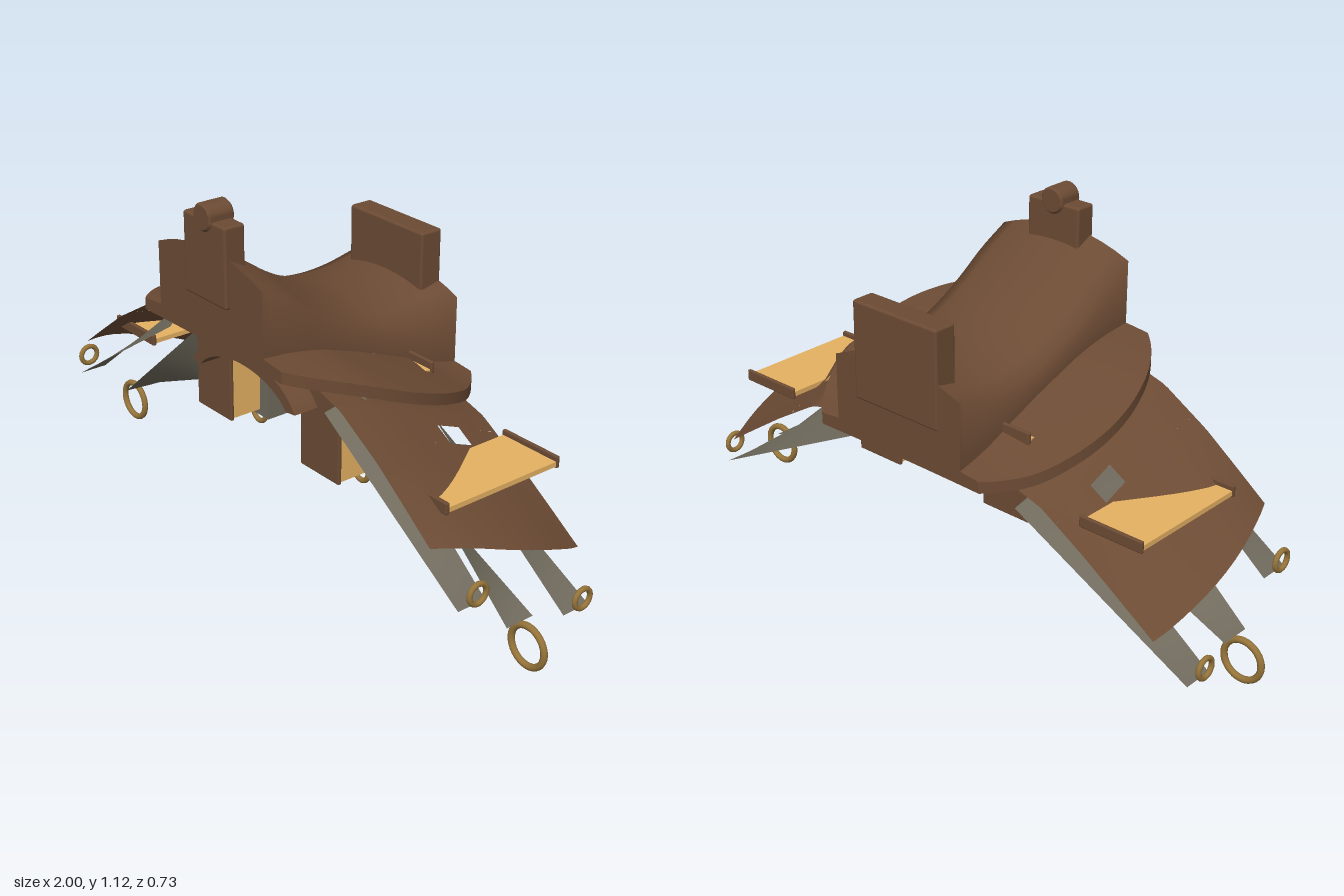
import * as THREE from 'three';
import { toCreasedNormals } from 'three/addons/utils/BufferGeometryUtils.js';
import { RoundedBoxGeometry } from 'three/addons/geometries/RoundedBoxGeometry.js';

const material = (name, color, side = THREE.FrontSide) => {
  const m = new THREE.MeshStandardMaterial({ color, side });
  m.name = name;
  return m;
};

// Closed solid through counter-clockwise cross-sections, front to back.
function loft(sections, crease) {
  const n = sections[0].length, last = (sections.length - 1) * n, index = [];
  for (let s = 0; s < sections.length - 1; s++) {
    for (let i = 0; i < n; i++) {
      const a = s * n + i, b = s * n + (i + 1) % n;
      index.push(a, a + n, b, b, a + n, b + n);
    }
  }
  const half = n / 2; // end caps join the lower row to the upper row
  for (let i = 0; i < half - 1; i++) {
    const lo = i, lo2 = i + 1, up = n - 1 - i, up2 = n - 2 - i;
    index.push(lo, lo2, up, lo2, up2, up);
    index.push(last + lo, last + up, last + lo2, last + lo2, last + up, last + up2);
  }
  const g = new THREE.BufferGeometry();
  g.setAttribute('position', new THREE.Float32BufferAttribute(sections.flat(2), 3));
  g.setIndex(index);
  return toCreasedNormals(g, crease);
}

// Cross-section with a lower and an upper row, each given as y(u) for u in -1..1.
function section(z, width, lower, upper, steps = 10) {
  const low = [], up = [];
  for (let i = 0; i <= steps; i++) {
    const u = -1 + 2 * i / steps;
    low.push([u * width, lower(u), z]);
    up.unshift([u * width, upper(u), z]);
  }
  return [...low, ...up];
}

const profile = (heights) => new THREE.SplineCurve(
  heights.map((y, i) => new THREE.Vector2(0.345 - i * 0.1, y)));
const seatTop = profile([0.985, 0.932, 0.865, 0.81, 0.774, 0.76, 0.765, 0.785]);
const skirtTop = profile([0.755, 0.745, 0.725, 0.692, 0.655, 0.615, 0.572, 0.545]);

// Height of the side flap along x, at its middle.
const flapLine = [[0.28, 0.61], [0.45, 0.56], [0.6, 0.47], [0.74, 0.39], [0.86, 0.32]];
function flapHeight(x) {
  let i = 1;
  while (i < flapLine.length - 1 && x > flapLine[i][0]) i++;
  const [x0, y0] = flapLine[i - 1], [x1, y1] = flapLine[i];
  return y0 + (y1 - y0) * (x - x0) / (x1 - x0);
}

// Bends a unit plane by place(u, v) -> [x, y, z], mirrored by side, facing up.
function sheetGeometry(across, along, side, place) {
  const g = new THREE.PlaneGeometry(1, 1, across, along);
  const p = g.attributes.position;
  for (let i = 0; i < p.count; i++) {
    const [x, y, z] = place(p.getX(i) + 0.5, p.getY(i) + 0.5);
    p.setXYZ(i, side * x, y, z);
  }
  if (side > 0) {
    const a = g.index.array;
    for (let i = 0; i < a.length; i += 3) [a[i], a[i + 1]] = [a[i + 1], a[i]];
  }
  g.computeVertexNormals();
  return g;
}

// Part of the flap sheet, falling to the back like the skirt, with a bowed outer edge.
const flapPatch = (x0, x1, z0, z1, side) => sheetGeometry(12, 12, side, (u, v) => {
  const x = x0 + (x1 - x0) * u, z = z0 + (z1 - z0) * v;
  const y = flapHeight(x) + skirtTop.getPoint((0.345 - z) / 0.7).y - 0.66;
  const bow = x > 0.6 ? (x - 0.6) / 0.26 * (0.7 * z * z + 0.06 * z) : 0;
  return [x - bow, y, z];
});

// Flat band twisting from a sloping inner end to a level outer end.
const strapStrip = ([xf, yf], [xb, yb], [xo, yo], zFront, zBack, side) =>
  sheetGeometry(10, 1, side, (u, v) => [
    THREE.MathUtils.lerp(v > 0.5 ? xf : xb, xo, u),
    THREE.MathUtils.lerp(v > 0.5 ? yf : yb, yo, u),
    v > 0.5 ? zFront : zBack]);

export function createModel() {
  const root = new THREE.Group();
  root.name = 'saddle';
  const leather = material('brown leather', 0x6c4b34);
  const sheet = material('brown leather sheet', 0x6c4b34, THREE.DoubleSide);
  const canvas = material('tan canvas', 0xe6b263);
  const webbing = material('grey webbing', 0x706b5d, THREE.DoubleSide);
  const brass = material('brass', 0x96743a);

  const add = (name, geometry, mat, x = 0, y = 0, z = 0) => {
    const m = new THREE.Mesh(geometry, mat);
    m.name = name;
    m.position.set(x, y, z);
    root.add(m);
    return m;
  };
  const box = (name, mat, x0, x1, y0, y1, z0, z1, r = 0) => {
    const size = [Math.abs(x1 - x0), y1 - y0, z1 - z0];
    const g = r ? new RoundedBoxGeometry(...size, 2, r) : new THREE.BoxGeometry(...size);
    return add(name, g, mat, (x0 + x1) / 2, (y0 + y1) / 2, (z0 + z1) / 2);
  };

  // Seat and rounded skirt beneath it
  const seat = [], skirt = [];
  for (let i = 0; i <= 32; i++) {
    const a = seatTop.getPoint(i / 32), b = skirtTop.getPoint(i / 32), z = b.x;
    seat.push(section(z, 0.237, () => b.y - 0.02, (u) => a.y - 0.05 * u * u));
    const w = 0.48 * Math.sqrt(1 - (z / 0.46) ** 2);
    const droop = (u) => b.y - 0.19 * (u * w) ** 2;
    skirt.push(section(z, w, (u) => droop(u) - 0.05 + 0.015 * u * u, droop));
  }
  add('seat', loft(seat, 1.3), leather);
  add('skirt', loft(skirt, 0.6), leather);

  // Pommel, horn and cantle
  box('pommel', leather, -0.095, 0.095, 0.835, 1.07, 0.29, 0.358, 0.008);
  const hornProfile = [[0, -0.042], [0.034, -0.042], [0.04, -0.036], [0.04, 0.036], [0.034, 0.042], [0, 0.042]]
    .map(([x, y]) => new THREE.Vector2(x, y));
  const horn = add('horn', toCreasedNormals(new THREE.LatheGeometry(hornProfile, 28), 0.6), leather, 0, 1.075, 0.323);
  horn.rotation.x = Math.PI / 2;
  box('cantle', leather, -0.158, 0.158, 0.625, 0.922, -0.36, -0.285, 0.008);

  // Arch under the front
  const arch = new THREE.Shape();
  arch.moveTo(-0.24, 0.545);
  arch.bezierCurveTo(-0.16, 0.68, 0.16, 0.68, 0.24, 0.545);
  arch.lineTo(0.2, 0.54);
  arch.bezierCurveTo(0.12, 0.635, -0.12, 0.635, -0.2, 0.54);
  arch.closePath();
  add('frontArch', toCreasedNormals(new THREE.ExtrudeGeometry(arch, { depth: 0.15, bevelEnabled: false, curveSegments: 16 }), 0.6),
    leather, 0, 0, 0.09);

  const ring = (name, r, tube, x, y, z, turned) => {
    const m = add(name, new THREE.TorusGeometry(r, tube, 10, 32), brass, x, y, z);
    if (turned) m.rotation.y = Math.PI / 2;
  };

  for (const s of [1, -1]) {
    const label = s > 0 ? 'left' : 'right';

    // Side flap in pieces around a small opening
    add(label + 'FlapInner', flapPatch(0.28, 0.5, -0.268, 0.256, s), sheet);
    add(label + 'FlapFront', flapPatch(0.5, 0.555, -0.045, 0.256, s), sheet);
    add(label + 'FlapBack', flapPatch(0.5, 0.555, -0.268, -0.125, s), sheet);
    add(label + 'FlapLower', flapPatch(0.555, 0.87, -0.268, 0.256, s), sheet);

    // Flat shelf with end plates
    box(label + 'Shelf', canvas, s * 0.565, s * 0.765, 0.45, 0.465, -0.235, 0.155);
    box(label + 'ShelfBackPlate', leather, s * 0.56, s * 0.768, 0.445, 0.48, -0.246, -0.234, 0.004);
    box(label + 'ShelfFrontPlate', leather, s * 0.56, s * 0.768, 0.445, 0.48, 0.154, 0.167, 0.004);

    // Hanging bag with end plates
    box(label + 'Bag', canvas, s * 0.17, s * 0.327, 0.345, 0.594, -0.175, 0.15);
    box(label + 'BagBackPlate', leather, s * 0.165, s * 0.332, 0.34, 0.617, -0.186, -0.174, 0.004);
    box(label + 'BagFrontPlate', leather, s * 0.165, s * 0.332, 0.34, 0.617, 0.149, 0.161, 0.004);

    // Inner strap and its ring
    box(label + 'InnerStrap', webbing, s * 0.13, s * 0.24, 0.325, 0.65, -0.045, 0.05);
    ring(label + 'InnerRing', 0.031, 0.008, s * 0.24, 0.295, 0, false);

    // Three straps with rings at their ends
    add(label + 'FrontStrap', strapStrip([0.36, 0.6], [0.4, 0.65], [0.895, 0.25], 0.235, 0.141, s), webbing);
    add(label + 'MiddleStrap', strapStrip([0.4, 0.57], [0.31, 0.38], [0.9, 0.13], 0.06, -0.035, s), webbing);
    add(label + 'BackStrap', strapStrip([0.38, 0.49], [0.32, 0.4], [0.92, 0.1], -0.133, -0.227, s), webbing);
    ring(label + 'FrontRing', 0.029, 0.008, s * 0.915, 0.295, 0.188, true);
    ring(label + 'BackRing', 0.029, 0.008, s * 0.94, 0.145, -0.18, true);
    ring(label + 'LargeRing', 0.06, 0.01, s * 0.93, 0.07, 0.01, false);
  }
  return root;
}
